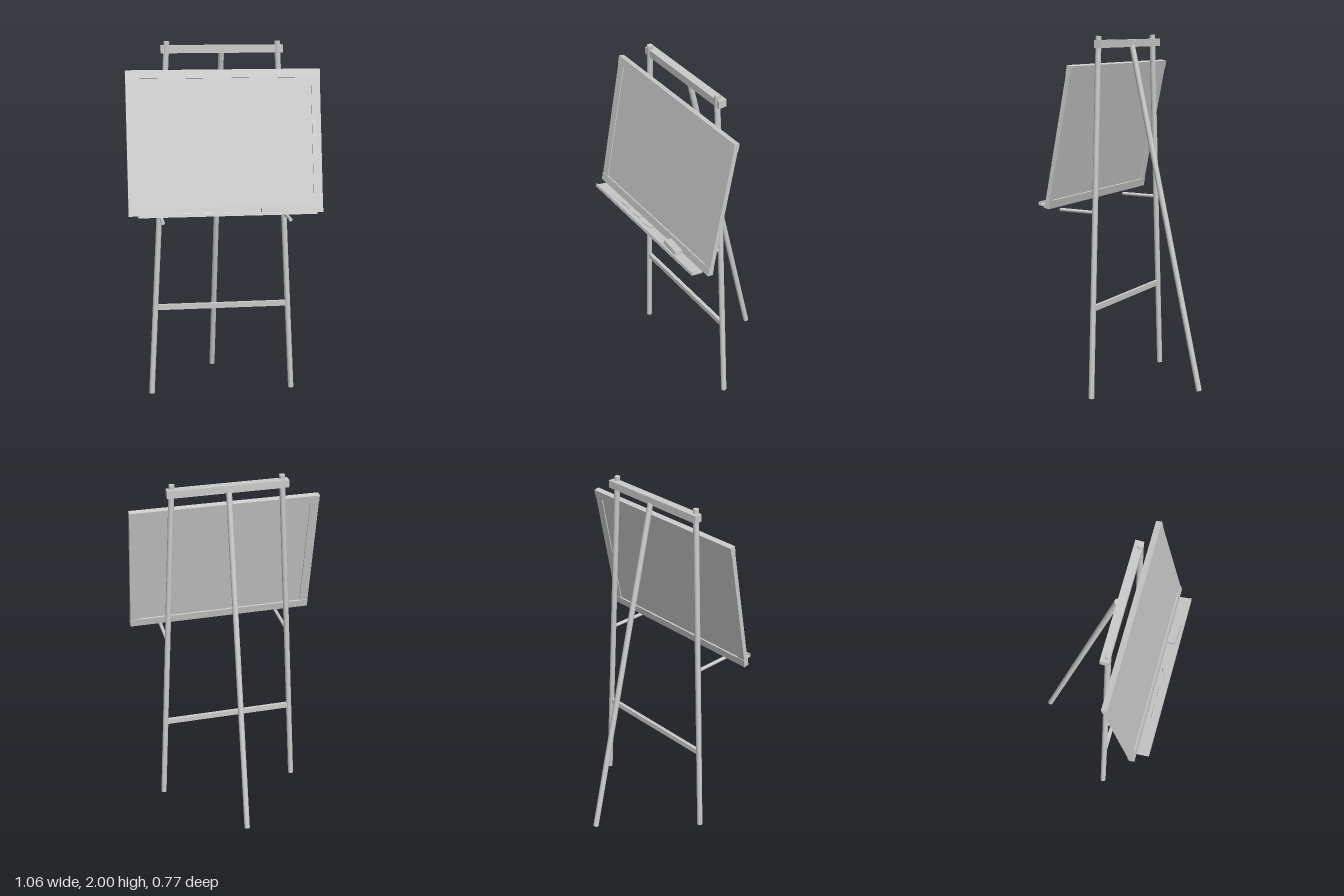
import * as THREE from 'three';

export function createModel() {
  const model = new THREE.Group();
  model.name = 'easel';
  const grey = new THREE.MeshStandardMaterial({ color: 0xcccccc });
  grey.name = 'light grey';

  const add = (parent, name, geometry, x, y, z) => {
    const mesh = new THREE.Mesh(geometry, grey);
    mesh.name = name;
    mesh.position.set(x, y, z);
    parent.add(mesh);
    return mesh;
  };
  const box = (parent, name, w, h, d, x, y, z) =>
    add(parent, name, new THREE.BoxGeometry(w, h, d), x, y, z);

  // Round rod running between two points
  const rod = (parent, name, r, from, to) => {
    const a = new THREE.Vector3(...from), b = new THREE.Vector3(...to);
    const dir = b.clone().sub(a);
    const mid = a.clone().add(b).multiplyScalar(0.5);
    const mesh = add(parent, name, new THREE.CylinderGeometry(r, r, dir.length(), 24), mid.x, mid.y, mid.z);
    mesh.quaternion.setFromUnitVectors(new THREE.Vector3(0, 1, 0), dir.normalize());
  };

  // Legs and the pegs that hold the board
  for (const [side, s] of [['left', 1], ['right', -1]]) {
    rod(model, side + 'FrontLeg', 0.016, [s * 0.405, 0.001, 0.102], [s * 0.303, 1.999, 0.102]);
    rod(model, side + 'Peg', 0.01, [s * 0.349, 1.043, 0.1], [s * 0.349, 1.043, 0.328]);
  }
  rod(model, 'rearLeg', 0.016, [0, 0.004, -0.367], [0, 1.944, 0.066]);

  // Crossbars
  box(model, 'topBar', 0.67, 0.042, 0.046, 0, 1.956, 0.09);
  box(model, 'lowerBar', 0.75, 0.03, 0.02, 0, 0.51, 0.102);

  // Leaning board: origin at the bottom edge, y along its height
  const board = new THREE.Group();
  board.name = 'board';
  board.position.set(0, 1.077, 0.3);
  board.rotation.x = -0.2;
  model.add(board);
  const H = 0.785, rail = 0.046;
  box(board, 'writingPanel', 0.98, H - 2 * rail + 0.01, 0.014, 0, H / 2, 0);
  box(board, 'topRail', 1.064, rail, 0.032, 0, H - rail / 2, 0);
  box(board, 'bottomRail', 1.064, rail, 0.032, 0, rail / 2, 0);
  for (const [side, s] of [['left', 1], ['right', -1]])
    box(board, side + 'Stile', 0.049, H - 2 * rail, 0.026, s * 0.5075, H / 2, 0);

  // Tray with a front lip
  box(board, 'tray', 0.968, 0.01, 0.069, 0, -0.005, 0.0505);
  box(board, 'trayLip', 0.968, 0.018, 0.008, 0, -0.001, 0.081);

  // Eraser and chalk sticks lying in the tray
  const eraser = box(board, 'eraser', 0.122, 0.026, 0.045, 0.246, 0.013, 0.046);
  eraser.rotation.y = -0.09;
  for (const [x, length, turn] of [[-0.226, 0.078, 0], [-0.113, 0.057, 0.1], [0, 0.068, 0.26]]) {
    const chalk = new THREE.CylinderGeometry(0.006, 0.006, length, 16).rotateZ(Math.PI / 2);
    add(board, 'chalk', chalk, x, 0.006, 0.046).rotation.y = turn;
  }

  return model;
}
